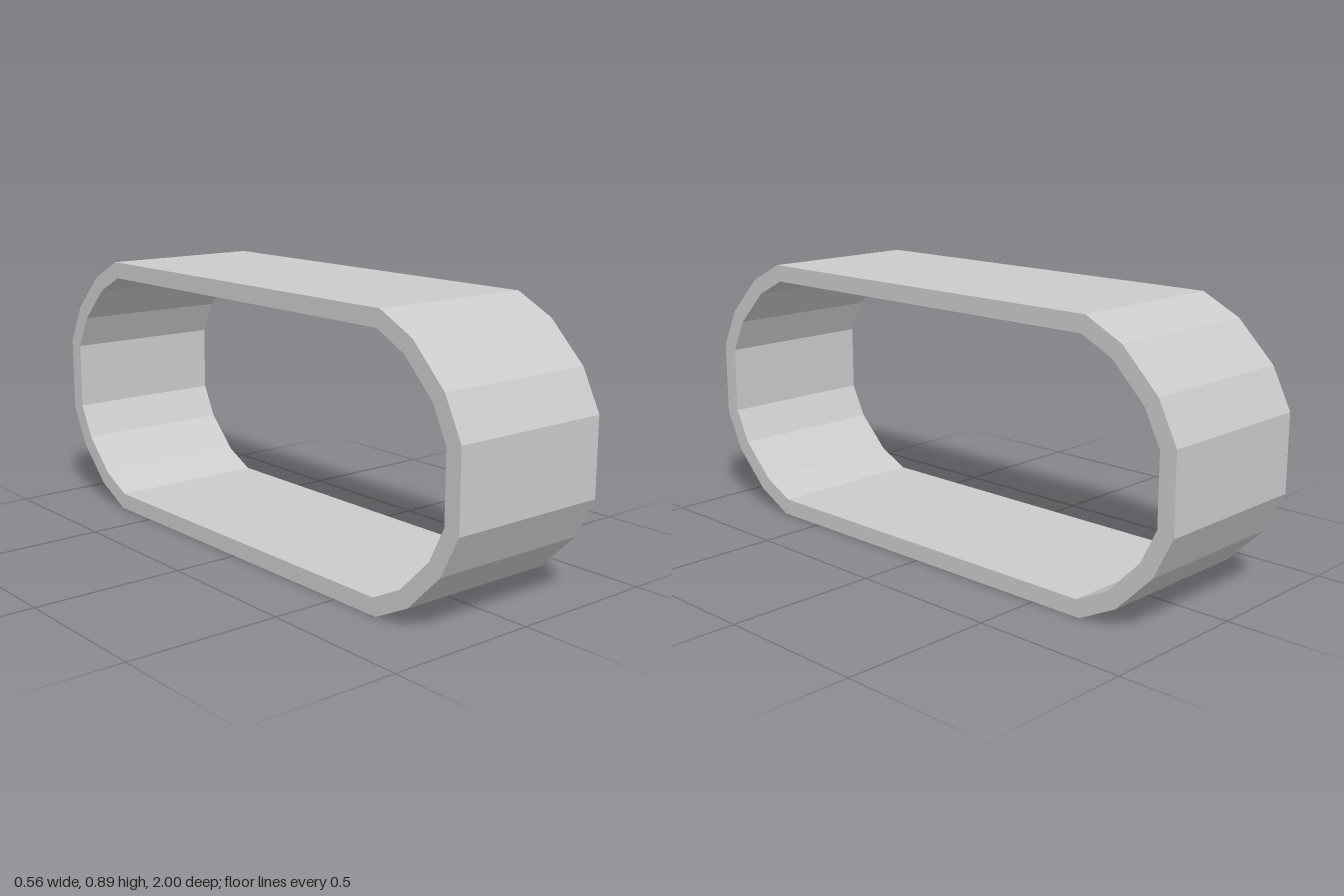
import * as THREE from 'three';

const WIDTH = 0.556;
const HALF_HEIGHT = 0.445;

// One corner of each outline, mirrored into a closed, centred loop.
const outerCorner = [[1, 0.125], [0.935, 0.255], [0.81, 0.38], [0.68, 0.445]];
const innerCorner = [[0.945, 0.112], [0.89, 0.222], [0.777, 0.335], [0.667, 0.39]];

function loopFromCorner(corner) {
  const back = [...corner].reverse();
  return [
    ...corner,
    ...back.map(([x, y]) => [-x, y]),
    ...corner.map(([x, y]) => [-x, -y]),
    ...back.map(([x, y]) => [x, -y]),
  ].map(([x, y]) => new THREE.Vector2(x, y));
}

export function createModel() {
  const group = new THREE.Group();
  group.name = 'facetedBand';

  // Faceted ring outline with a matching opening, extruded across the width
  const shape = new THREE.Shape(loopFromCorner(outerCorner));
  shape.holes.push(new THREE.Path(loopFromCorner(innerCorner)));
  const geometry = new THREE.ExtrudeGeometry(shape, { depth: WIDTH, bevelEnabled: false });
  geometry.translate(0, 0, -WIDTH / 2);
  geometry.rotateY(Math.PI / 2);
  geometry.translate(0, HALF_HEIGHT, 0);

  const band = new THREE.Mesh(
    geometry,
    new THREE.MeshStandardMaterial({ color: 0xcccccc, flatShading: true })
  );
  band.name = 'band';
  group.add(band);
  return group;
}
